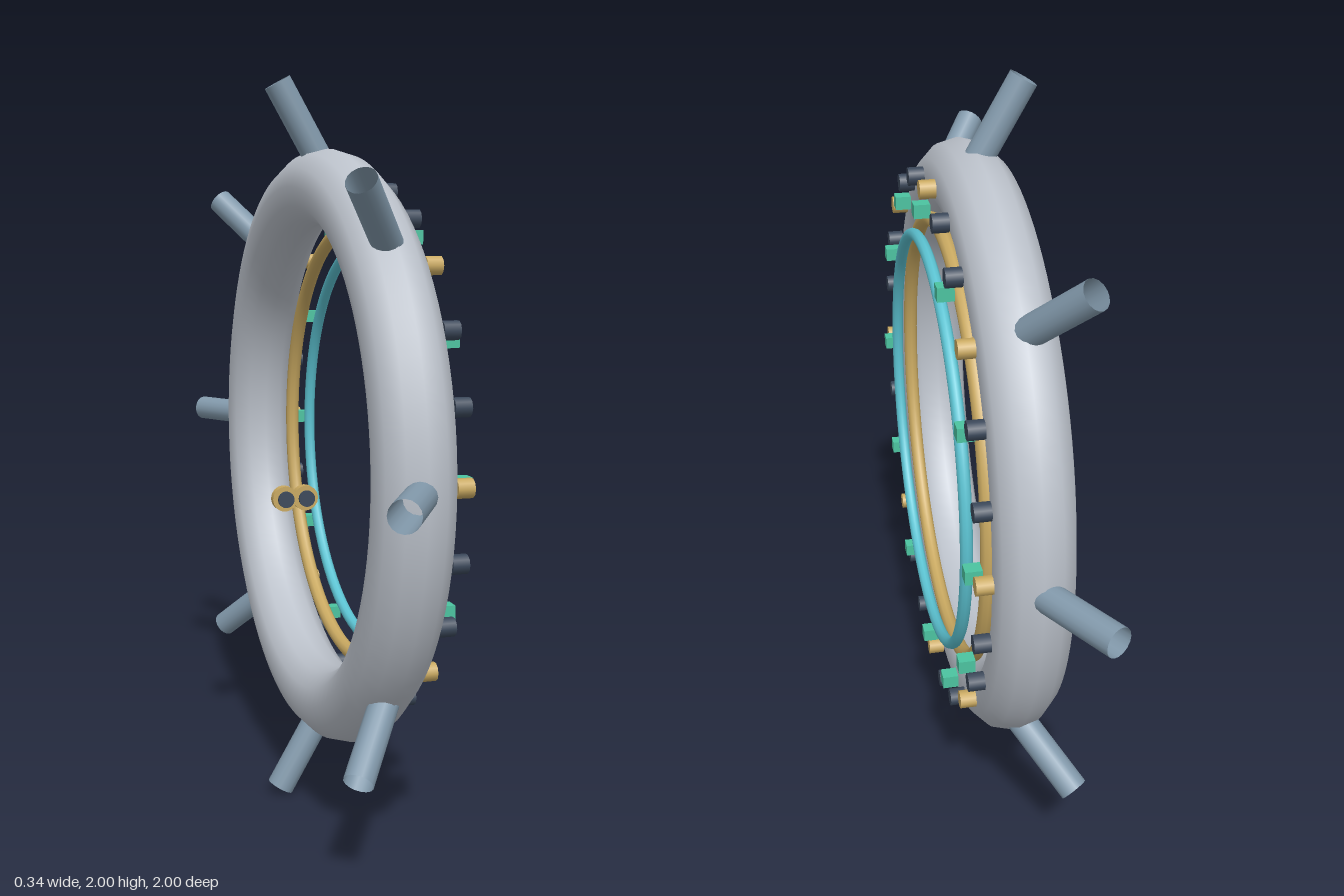
import * as THREE from 'three';

const mat = (name, color, extra = {}) => {
  const m = new THREE.MeshStandardMaterial({ color, ...extra });
  m.name = name;
  return m;
};

export function createModel() {
  const hullGrey = mat('hullGrey', 0xbcc2cb);
  const steelBlue = mat('steelBlue', 0x8299ab, { side: THREE.DoubleSide });
  const gold = mat('gold', 0xc9a961);
  const cyan = mat('cyan', 0x5cc3d2);
  const darkSlate = mat('darkSlate', 0x3b485a);
  const green = mat('green', 0x4cc3a0);

  const model = new THREE.Group();
  model.name = 'ringStation';
  const station = new THREE.Group();
  station.name = 'ringAssembly';
  station.position.y = 1;
  model.add(station);

  const add = (name, geometry, material, x, y, z) => {
    const mesh = new THREE.Mesh(geometry, material);
    mesh.name = name;
    mesh.position.set(x, y, z);
    station.add(mesh);
    return mesh;
  };

  // Concentric rings around the x axis
  const ring = (name, radius, tube, sides, material, x) =>
    add(name, new THREE.TorusGeometry(radius, tube, sides, 96).rotateY(Math.PI / 2), material, x, 0, 0);
  ring('mainRing', 0.71, 0.1, 12, hullGrey, 0.008);
  ring('goldRing', 0.602, 0.02, 10, gold, 0.094);
  ring('cyanRing', 0.563, 0.016, 10, cyan, 0.14);

  // Eight open tubes leaning back from the rim
  const tilt = Math.PI / 6;
  const tube = new THREE.CylinderGeometry(0.038, 0.038, 0.26, 16, 1, true);
  tube.rotateZ(tilt).translate(-0.051, 0.869, 0);
  for (let i = 0; i < 8; i++) {
    add('rimTube', tube, steelBlue, 0, 0, 0).rotation.x = (i * Math.PI) / 4;
  }

  // Round studs on the face, every third one gold
  const stud = new THREE.CylinderGeometry(0.024, 0.024, 0.042, 10).rotateZ(Math.PI / 2);
  for (let i = 0; i < 24; i++) {
    const a = (i * Math.PI) / 12;
    const isGold = i % 3 === 0;
    add(isGold ? 'goldStud' : 'darkStud', stud, isGold ? gold : darkSlate,
      0.129, 0.715 * Math.cos(a), 0.715 * Math.sin(a));
  }

  // Small square lamps inside the studs
  const lamp = new THREE.BoxGeometry(0.042, 0.036, 0.038);
  for (let i = 0; i < 12; i++) {
    const a = (i * Math.PI) / 6;
    add('greenLamp', lamp, green, 0.145, 0.663 * Math.cos(a), 0.663 * Math.sin(a));
  }

  // Pair of small lenses floating behind the ring
  const rim = new THREE.CylinderGeometry(0.034, 0.034, 0.022, 16).rotateX(Math.PI / 2);
  const glass = new THREE.CylinderGeometry(0.022, 0.022, 0.008, 16).rotateX(Math.PI / 2);
  for (const x of [-0.139, -0.082]) {
    add('lensRim', rim, gold, x, -0.115, 0.137);
    add('lensGlass', glass, darkSlate, x, -0.115, 0.157);
  }

  return model;
}
